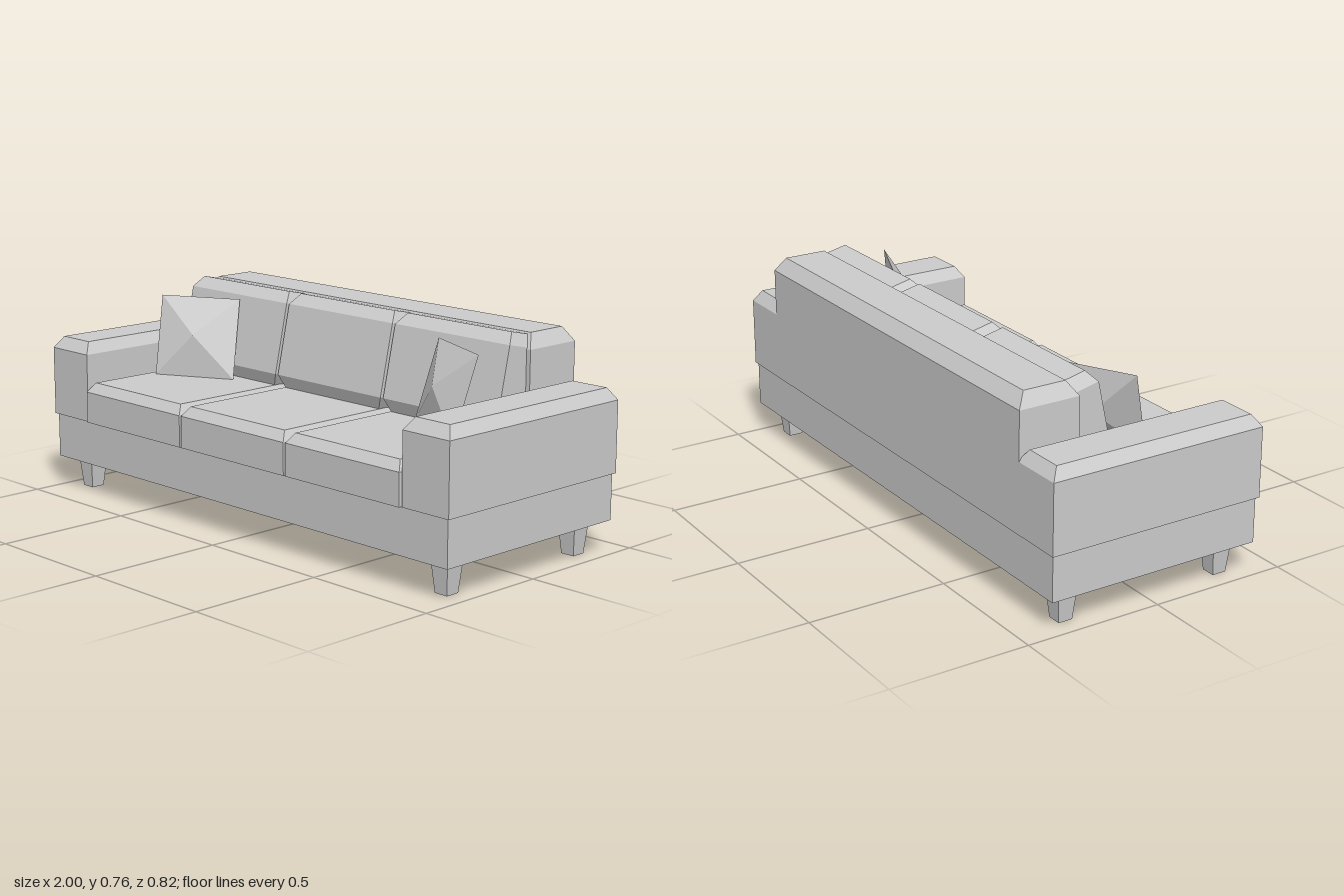
import * as THREE from 'three';

const fabric = new THREE.MeshStandardMaterial({ color: 0xcccccc });
fabric.name = 'greyFabric';
fabric.flatShading = true;

// Mesh from triangles given as lists of [x, y, z] points
function solid(name, tris) {
  const geo = new THREE.BufferGeometry();
  geo.setAttribute('position', new THREE.Float32BufferAttribute(tris.flat(2), 3));
  geo.computeVertexNormals();
  const mesh = new THREE.Mesh(geo, fabric);
  mesh.name = name;
  return mesh;
}

// Block lofted through rectangles [y, x0, x1, z0, z1], bottom to top
function block(name, levels) {
  const rings = levels.map(([y, x0, x1, z0, z1]) =>
    [[x0, y, z1], [x1, y, z1], [x1, y, z0], [x0, y, z0]]);
  const tris = [];
  const quad = (a, b, c, d) => tris.push([a, b, c], [a, c, d]);
  for (let i = 0; i < rings.length - 1; i++) {
    const lo = rings[i], hi = rings[i + 1];
    for (let k = 0; k < 4; k++) {
      const n = (k + 1) % 4;
      quad(lo[k], lo[n], hi[n], hi[k]);
    }
  }
  const b = rings[0], t = rings[rings.length - 1];
  quad(t[0], t[1], t[2], t[3]);
  quad(b[3], b[2], b[1], b[0]);
  return solid(name, tris);
}

// Throw pillow: four corners with a raised point on each side
function pillow(name, topLeft, topRight, drop, bulge) {
  const tl = new THREE.Vector3(...topLeft), tr = new THREE.Vector3(...topRight);
  const d = new THREE.Vector3(...drop);
  const bl = tl.clone().add(d), br = tr.clone().add(d);
  const mid = tl.clone().add(br).multiplyScalar(0.5);
  const normal = d.clone().cross(tr.clone().sub(tl)).normalize();
  const front = mid.clone().addScaledVector(normal, bulge).toArray();
  const back = mid.clone().addScaledVector(normal, -bulge).toArray();
  const c = [bl, br, tr, tl].map((v) => v.toArray());
  const tris = [];
  for (let k = 0; k < 4; k++) {
    const n = (k + 1) % 4;
    tris.push([c[k], c[n], front], [c[n], c[k], back]);
  }
  return solid(name, tris);
}

export function createModel() {
  const sofa = new THREE.Group();
  sofa.name = 'sofa';

  // Base and bevelled backrest
  sofa.add(block('base', [[0.115, -0.99, 0.99, -0.405, 0.397], [0.28, -0.99, 0.99, -0.405, 0.397]]));
  sofa.add(block('backrest', [
    [0.278, -0.81, 0.81, -0.412, -0.185],
    [0.70, -0.81, 0.81, -0.412, -0.185],
    [0.75, -0.78, 0.78, -0.378, -0.22]]));

  // Arms and tapered legs on both sides
  for (const s of [-1, 1]) {
    const arm = block(s > 0 ? 'leftArm' : 'rightArm', [
      [0.278, -0.1, 0.1, -0.412, 0.405],
      [0.528, -0.1, 0.1, -0.412, 0.405],
      [0.57, -0.073, 0.073, -0.384, 0.375]]);
    arm.position.x = s * 0.9;
    sofa.add(arm);
    for (const z of [0.307, -0.313]) {
      const leg = block(z > 0 ? 'frontLeg' : 'backLeg', [
        [0, -0.026, 0.026, -0.026, 0.026],
        [0.115, -0.037, 0.037, -0.037, 0.037]]);
      leg.position.set(s * 0.905, 0, z);
      sofa.add(leg);
    }
  }

  // Three seat cushions with leaning back cushions
  for (const i of [-1, 0, 1]) {
    const seat = block('seatCushion', [
      [0.278, -0.262, 0.262, -0.19, 0.413],
      [0.392, -0.262, 0.262, -0.19, 0.413],
      [0.426, -0.24, 0.24, -0.165, 0.386]]);
    seat.position.x = i * 0.533;
    sofa.add(seat);

    const back = block('backCushion', [
      [0, -0.235, 0.235, -0.135, -0.028],
      [0.044, -0.26, 0.26, -0.163, 0],
      [0.303, -0.26, 0.26, -0.163, 0],
      [0.347, -0.235, 0.235, -0.135, -0.028]]);
    back.rotation.x = -0.22;
    back.position.set(i * 0.533, 0.429, -0.035);
    sofa.add(back);
  }

  // Throw pillows
  sofa.add(pillow('rightPillow', [-0.788, 0.71, 0.053], [-0.515, 0.71, -0.09], [0.046, -0.284, 0.077], 0.052));
  sofa.add(pillow('leftPillow', [0.493, 0.71, -0.085], [0.78, 0.71, 0.035], [-0.034, -0.284, 0.08], 0.052));

  return sofa;
}
